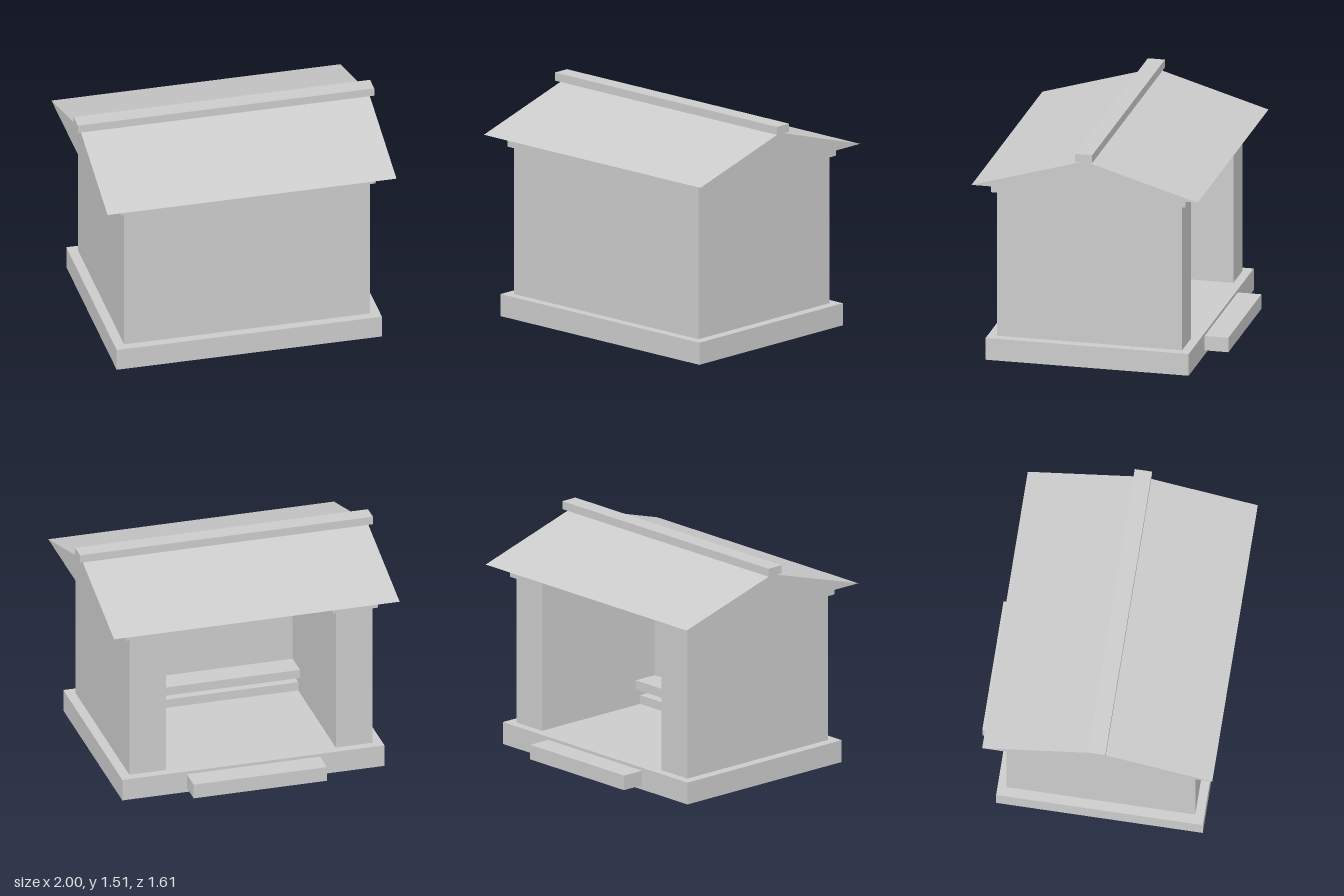
import * as THREE from 'three';

const stone = new THREE.MeshStandardMaterial({ color: 0xcccccc, flatShading: true });

export function createModel() {
  const model = new THREE.Group();
  model.name = 'shrine';

  function add(name, geometry) {
    const mesh = new THREE.Mesh(geometry, stone);
    mesh.name = name;
    model.add(mesh);
  }

  // Box centred on x, given its half width and its y and z ranges
  function block(name, halfWidth, y0, y1, z0, z1) {
    const g = new THREE.BoxGeometry(halfWidth * 2, y1 - y0, z1 - z0);
    add(name, g.translate(0, (y0 + y1) / 2, (z0 + z1) / 2));
  }

  // Three-sided plan, open at the back, grown outwards and inwards by offset
  function openPlan(name, offset, y0, y1) {
    const outX = 0.83 + offset, inX = 0.58 - offset;
    const back = -0.585 - offset, front = 0.665 + offset, inner = 0.415 - offset;
    const plan = new THREE.Shape([
      [-outX, back], [-inX, back], [-inX, inner], [inX, inner],
      [inX, back], [outX, back], [outX, front], [-outX, front],
    ].map(([x, z]) => new THREE.Vector2(x, z)));
    const g = new THREE.ExtrudeGeometry(plan, { depth: y1 - y0, bevelEnabled: false });
    add(name, g.rotateX(Math.PI / 2).translate(0, y1, 0));
  }

  // Floor slab and entrance step at the open back
  block('base', 0.895, 0, 0.15, -0.645, 0.725);
  block('step', 0.455, 0.03, 0.13, -0.805, -0.645);

  // Thick walls with a cornice that follows them inside and out
  openPlan('walls', 0, 0.15, 1.15);
  openPlan('cornice', 0.03, 1.15, 1.23);

  // Bench along the inner wall
  block('benchFoot', 0.58, 0.15, 0.21, 0.285, 0.415);
  block('benchBody', 0.58, 0.21, 0.26, 0.35, 0.415);
  block('benchSeat', 0.58, 0.26, 0.32, 0.245, 0.415);

  // Gabled roof, drawn as a z-y triangle and run along x
  const gable = new THREE.Shape([
    new THREE.Vector2(-0.725, 1.23), new THREE.Vector2(0.8, 1.23), new THREE.Vector2(0.0375, 1.455),
  ]);
  const roof = new THREE.ExtrudeGeometry(gable, { depth: 1.95, bevelEnabled: false });
  add('roof', roof.rotateY(-Math.PI / 2).translate(0.975, 0, 0));
  block('ridgeBeam', 1, 1.455, 1.51, -0.02, 0.095);

  return model;
}
